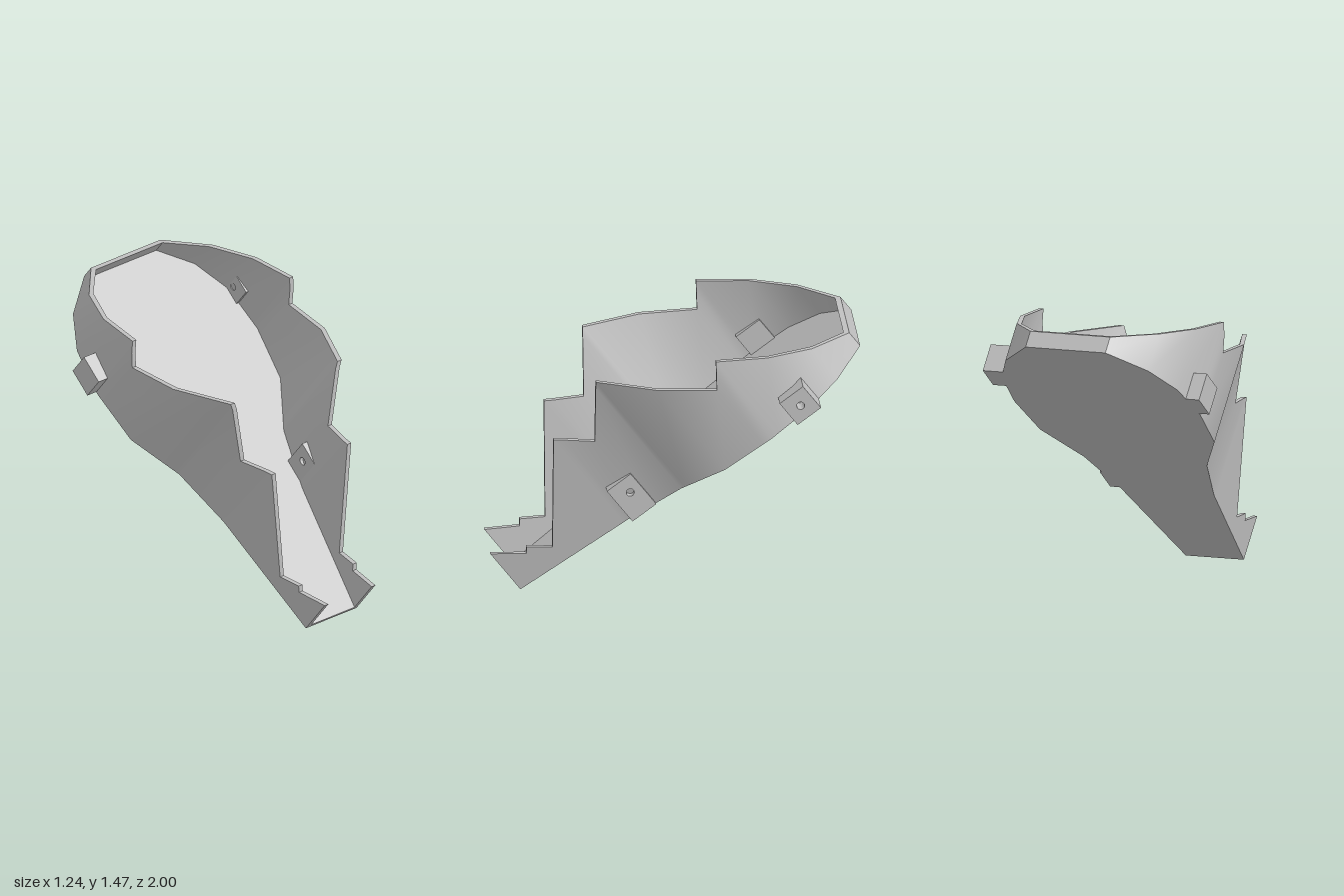
import * as THREE from 'three';
import { toCreasedNormals } from 'three/addons/utils/BufferGeometryUtils.js';

const TILT = Math.atan2(1.39, 1.84);
const PIVOT_Z = 0.84;
const FLOOR = 0.025;

// Half outline of the tray: [distance along floor, outer x, inner x]
const OUTLINE = [
  [0, 0.175, 0.15], [0.73, 0.28, 0.254], [1.07, 0.37, 0.342], [1.352, 0.525, 0.498],
  [1.66, 0.56, 0.535], [1.93, 0.53, 0.504], [2.13, 0.43, 0.4], [2.306, 0.24, 0.202],
];
const BACK_INNER = [2.281, 0.23];

// Stepped rim seen from the side: [z, y], turned into [along floor, above floor]
const RIM = [
  [1, 0.22], [0.81, 0.22], [0.81, 0.26], [0.67, 0.26], [0.67, 0.92], [0.45, 0.92],
  [0.45, 1.3], [-0.19, 1.3], [-0.185, 1.468], [-0.94, 1.468],
].map(([z, y]) => {
  const c = Math.cos(TILT), s = Math.sin(TILT), d = PIVOT_Z - z;
  return [d * c + y * s, y * c - d * s];
});

// Linear lookup in a table sorted by its first column
function lookup(table, u, col) {
  if (u <= table[0][0]) return table[0][col];
  for (let i = 1; i < table.length; i++) {
    const a = table[i - 1], b = table[i];
    if (u <= b[0]) return a[col] + (b[col] - a[col]) * (u - a[0]) / (b[0] - a[0]);
  }
  return table[table.length - 1][col];
}

// Wall running up one side, around the back and down the other side
function wallGeometry() {
  const us = [...OUTLINE.map(p => p[0]), ...RIM.map(p => p[0]).filter(u => u > 0.02 && u < 2.29)]
    .sort((a, b) => a - b);
  const section = (u, side) => {
    const last = u === 2.306;
    const ui = last ? BACK_INNER[0] : u;
    const xo = side * lookup(OUTLINE, u, 1);
    const xi = side * (last ? BACK_INNER[1] : lookup(OUTLINE, u, 2));
    return [
      [xo, 0, -u], [xo, lookup(RIM, u, 1), -u],
      [xi, lookup(RIM, ui, 1), -ui], [xi, 0, -ui],
    ];
  };
  const rings = [...us.map(u => section(u, 1)), ...us.slice().reverse().map(u => section(u, -1))];
  const pos = [];
  const quad = (a, b, c, d) => pos.push(...a, ...b, ...c, ...a, ...c, ...d);
  for (let i = 0; i < rings.length - 1; i++) {
    const a = rings[i], b = rings[i + 1];
    for (let k = 0; k < 4; k++) {
      const n = (k + 1) % 4;
      quad(a[k], b[k], b[n], a[n]);
    }
  }
  quad(...rings[0]);
  const e = rings[rings.length - 1];
  quad(e[0], e[3], e[2], e[1]);
  const g = new THREE.BufferGeometry();
  g.setAttribute('position', new THREE.Float32BufferAttribute(pos, 3));
  return toCreasedNormals(g, 0.55);
}

// Flat floor slab inside the wall
function floorGeometry() {
  const half = OUTLINE.slice(0, -1).map(([u, , x]) => [x, u]);
  half.push([BACK_INNER[1], BACK_INNER[0]]);
  const pts = [...half, ...half.slice().reverse().map(([x, u]) => [-x, u])];
  const shape = new THREE.Shape(pts.map(([x, u]) => new THREE.Vector2(x, u)));
  const g = new THREE.ExtrudeGeometry(shape, { depth: FLOOR, bevelEnabled: false });
  return g.rotateX(-Math.PI / 2);
}

// Mounting block through the wall, with an optional screw hole
function tabGeometry(u0, u1, height, x0, x1, hole) {
  const shape = new THREE.Shape([
    new THREE.Vector2(u0, 0), new THREE.Vector2(u1, 0),
    new THREE.Vector2(u1, height), new THREE.Vector2(u0, height),
  ]);
  if (hole) shape.holes.push(new THREE.Path().absarc(hole[0], hole[1], 0.022, 0, Math.PI * 2, true));
  const g = new THREE.ExtrudeGeometry(shape, { depth: x1 - x0, bevelEnabled: false, curveSegments: 8 });
  return g.rotateY(Math.PI / 2).translate(x0, 0, 0);
}

export function createModel() {
  const grey = new THREE.MeshStandardMaterial({ color: 0xc0c0c0 });
  grey.name = 'light grey';

  const model = new THREE.Group();
  model.name = 'steppedTray';
  const tray = new THREE.Group();
  tray.name = 'tiltedTray';
  tray.position.z = PIVOT_Z;
  tray.rotation.x = TILT;
  model.add(tray);

  const add = (name, geometry) => {
    const mesh = new THREE.Mesh(geometry, grey);
    mesh.name = name;
    tray.add(mesh);
  };
  add('wall', wallGeometry());
  add('floor', floorGeometry());
  add('lowerLeftTab', tabGeometry(0.743, 0.905, 0.231, 0.265, 0.34, [0.837, 0.145]));
  add('upperLeftTab', tabGeometry(1.833, 1.992, 0.163, 0.5, 0.62, [1.914, 0.08]));
  add('rightTab', tabGeometry(1.675, 1.835, 0.163, -0.62, -0.5));
  return model;
}
